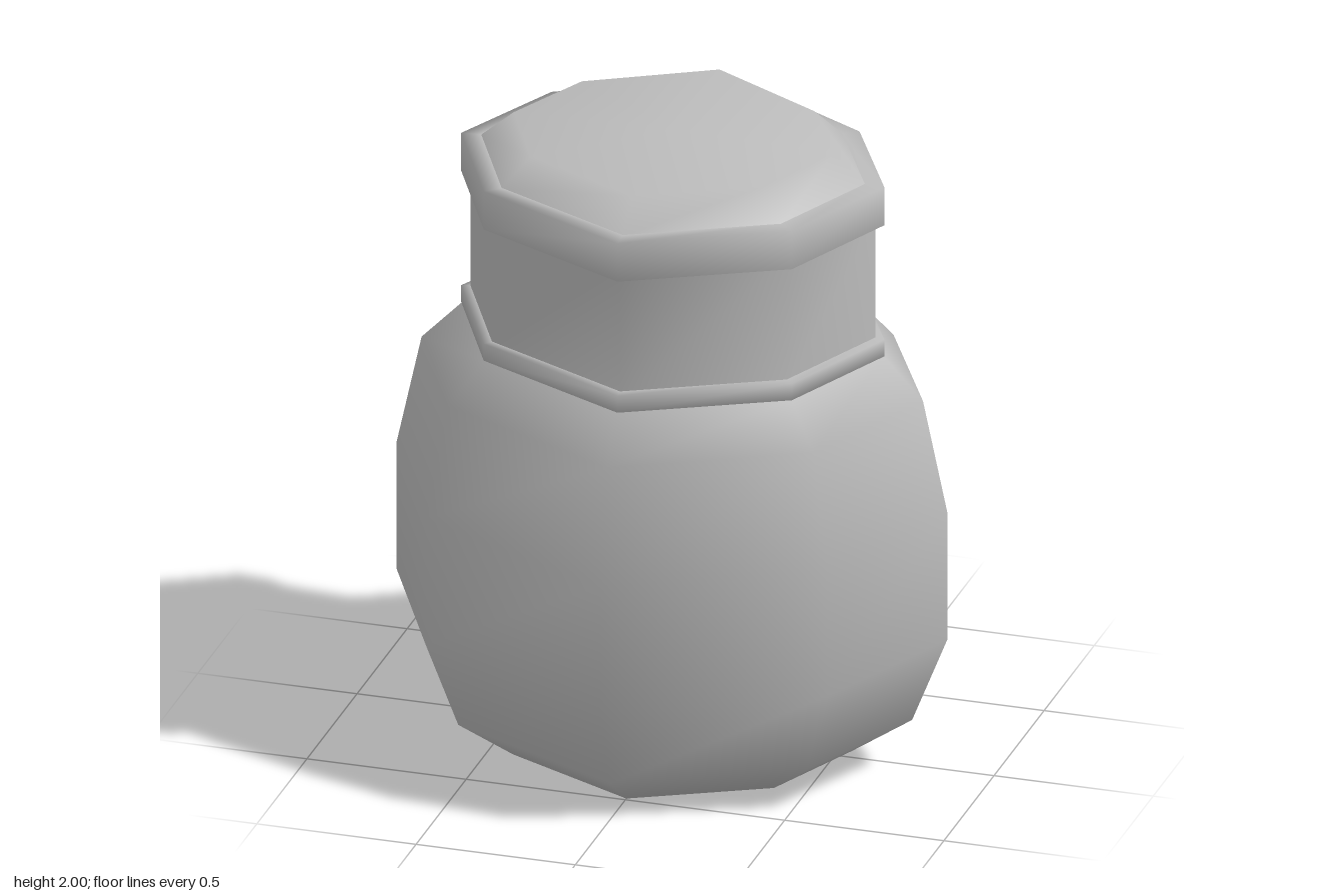
import * as THREE from 'three';
import { mergeVertices } from 'three/addons/utils/BufferGeometryUtils.js';

// Half outline of the jar at its widest, front to back: x, z, and lift of the tilted rings
const half = [
  [0, 0.755, 0],
  [0.63, 0.49, 0.025],
  [0.865, 0.035, 0.05],
  [0.63, -0.39, 0.075],
  [0, -0.757, 0.07],
];
const outline = [...half, ...half.slice(1, -1).reverse().map(([x, z, l]) => [-x, z, l])];

// Stack scaled copies of the outline; each ring is [scale, height at the front]
function loft(rings) {
  const positions = [], index = [], n = outline.length;
  for (const [s, y] of rings)
    for (const [x, z, lift] of outline) positions.push(x * s, y + lift * s, z * s);
  for (let r = 0; r < rings.length - 1; r++)
    for (let i = 0; i < n; i++) {
      const a = r * n + i, b = r * n + (i + 1) % n;
      if (rings[r + 1][0] > 0) index.push(a, b + n, a + n);
      if (rings[r][0] > 0) index.push(a, b, b + n);
    }
  const geometry = new THREE.BufferGeometry();
  geometry.setAttribute('position', new THREE.Float32BufferAttribute(positions, 3));
  geometry.setIndex(index);
  const merged = mergeVertices(geometry);
  merged.computeVertexNormals();
  return merged;
}

export function createModel() {
  const grey = new THREE.MeshStandardMaterial({ color: 0xbcbcbc });
  grey.name = 'grey';
  const group = new THREE.Group();
  group.name = 'jar';

  const parts = {
    // Rounded belly with closed base
    body: [[0, 0.022], [0.65, 0.001], [0.87, 0.12], [1, 0.395], [1, 0.81], [0.91, 1.17], [0.765, 1.305]],
    // Thin collar at the foot of the neck
    collar: [[0.73, 1.305], [0.768, 1.305], [0.768, 1.36], [0.73, 1.365]],
    neck: [[0.735, 1.34], [0.735, 1.76]],
    // Thick band around the lid
    lidBand: [[0.73, 1.74], [0.768, 1.735], [0.768, 1.86], [0.695, 1.865]],
    // Domed lid
    lid: [[0.7, 1.862], [0.58, 1.956], [0, 1.99]],
  };
  for (const [name, rings] of Object.entries(parts)) {
    const mesh = new THREE.Mesh(loft(rings), grey);
    mesh.name = name;
    group.add(mesh);
  }
  return group;
}
